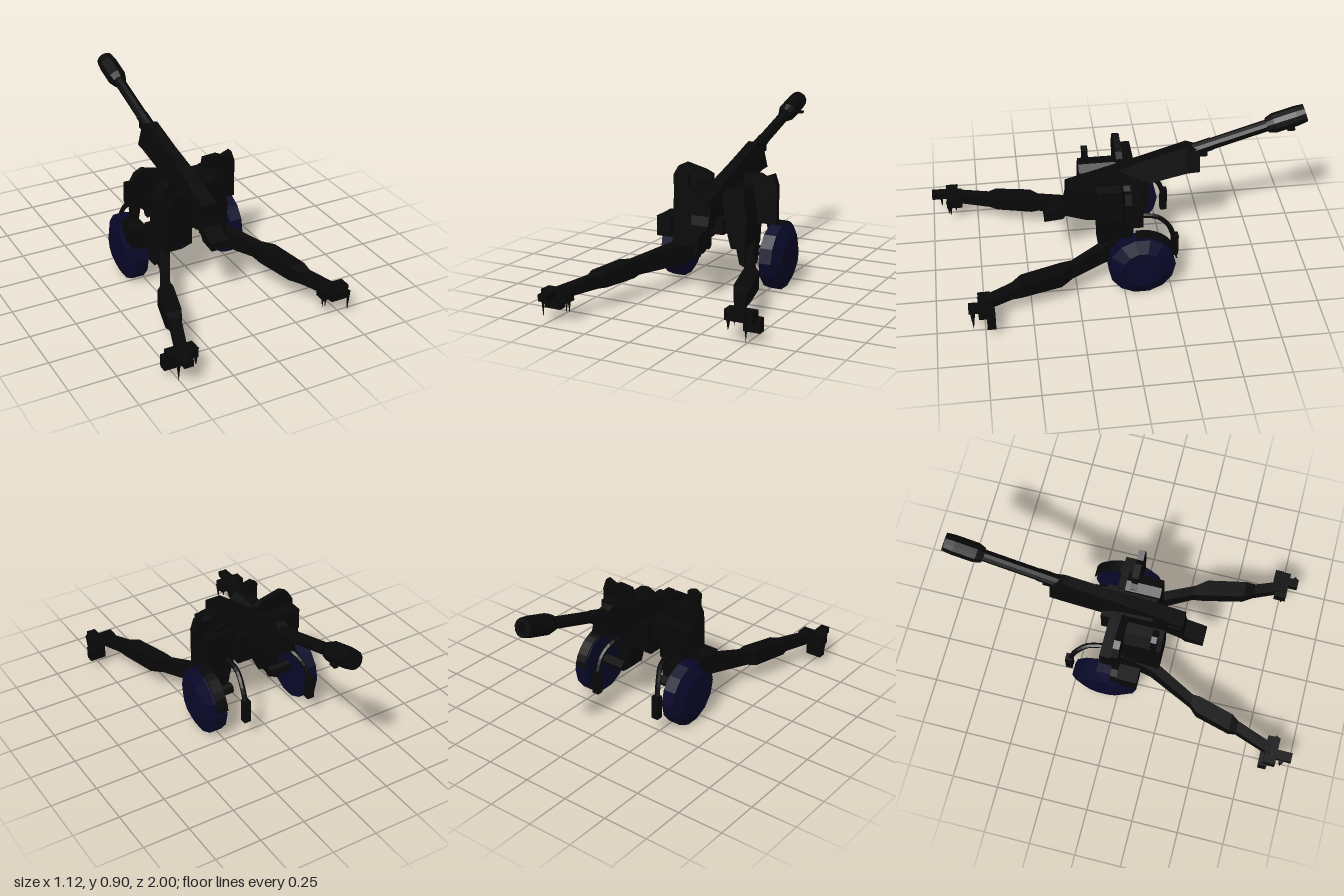
import * as THREE from 'three';

export function createModel() {
  const model = new THREE.Group();
  const gunmetal = new THREE.MeshStandardMaterial({ name: 'gunmetal black', color: 0x080808, flatShading: true });
  const tyre = new THREE.MeshStandardMaterial({ name: 'navy wheel', color: 0x080829, flatShading: true });

  const add = (name, geo, mat = gunmetal, parent = model) => {
    const m = new THREE.Mesh(geo, mat);
    m.name = name;
    parent.add(m);
    return m;
  };
  const box = (name, x0, x1, y0, y1, z0, z1) =>
    add(name, new THREE.BoxGeometry(x1 - x0, y1 - y0, z1 - z0)
      .translate((x0 + x1) / 2, (y0 + y1) / 2, (z0 + z1) / 2));
  const extrude = (pts, depth) => new THREE.ExtrudeGeometry(
    new THREE.Shape(pts.map(p => new THREE.Vector2(...p))), { depth, bevelEnabled: false });
  // profile of [z, y] points swept from x0 to x1
  const sideCut = (name, pts, x0, x1) =>
    add(name, extrude(pts, x1 - x0).rotateY(-Math.PI / 2).translate(x1, 0, 0));
  // profile of [x, y] points swept from z0 to z1
  const frontCut = (name, pts, z0, z1) => add(name, extrude(pts, z1 - z0).translate(0, 0, z0));

  // beam lofted through sections [x, y, z, width, height, top width], running towards +z
  const loft = (name, secs) => {
    const pos = [], idx = [];
    for (const [x, y, z, w, h, top = w] of secs)
      for (const [a, b] of [[-w, -h], [w, -h], [top, h], [-top, h]]) pos.push(x + a / 2, y + b / 2, z);
    for (let s = 0; s < secs.length - 1; s++)
      for (let k = 0; k < 4; k++) {
        const a = s * 4 + k, b = s * 4 + (k + 1) % 4;
        idx.push(a, b, b + 4, a, b + 4, a + 4);
      }
    const e = (secs.length - 1) * 4;
    idx.push(0, 2, 1, 0, 3, 2, e, e + 1, e + 2, e, e + 2, e + 3);
    const g = new THREE.BufferGeometry();
    g.setAttribute('position', new THREE.Float32BufferAttribute(pos, 3));
    g.setIndex(idx);
    g.computeVertexNormals();
    return add(name, g);
  };

  // Barrel and muzzle brake, raised towards the back
  const gun = new THREE.Group();
  gun.name = 'barrelAssembly';
  gun.position.set(-0.01, 0.552, 0);
  gun.rotation.x = 0.304;
  model.add(gun);
  const lathe = (name, pts, sides) =>
    add(name, new THREE.LatheGeometry(pts.map(p => new THREE.Vector2(...p)), sides).rotateX(-Math.PI / 2), gunmetal, gun);
  lathe('barrel', [[0, 0.3], [0.034, 0.3], [0.034, 0.52], [0.031, 0.52], [0.031, 0.86], [0, 0.86]], 10);
  lathe('muzzleBrake', [[0, 0.82], [0.04, 0.82], [0.053, 0.86], [0.053, 0.98], [0.048, 1.03], [0.025, 1.03], [0.025, 0.98], [0, 0.98]], 12);
  box('muzzleLug', 0.03, 0.052, 0.795, 0.807, -0.92, -0.88);

  // Cradle tapering to a narrow ridge, breech and tail
  loft('cradle', [[-0.01, 0.63, -0.43, 0.115, 0.12, 0.06], [-0.01, 0.645, -0.36, 0.125, 0.15, 0.055],
    [-0.005, 0.59, -0.15, 0.125, 0.13, 0.06], [0, 0.52, 0, 0.12, 0.18, 0.07], [0, 0.47, 0.28, 0.1, 0.1, 0.09]]);
  box('cradleCollar', -0.04, 0.02, 0.65, 0.7, -0.47, -0.42);
  sideCut('breechTail', [[0.4, 0.32], [0.4, 0.365], [0.29, 0.4], [0.27, 0.5], [0.2, 0.5], [0.2, 0.4], [0.28, 0.36], [0.3, 0.33]], -0.05, 0.05);
  box('saddle', -0.09, 0.09, 0.38, 0.54, -0.15, 0.12);
  box('saddleBase', -0.06, 0.06, 0.32, 0.4, -0.08, 0.14);

  // Side housings, with narrower feet reaching down to the trail legs
  frontCut('rightHousing', [[-0.06, 0.27], [-0.06, 0.54], [-0.1, 0.57], [-0.16, 0.57], [-0.2, 0.5], [-0.21, 0.25], [-0.12, 0.25]], 0, 0.2);
  frontCut('rightFoot', [[-0.11, 0.3], [-0.21, 0.3], [-0.22, 0.11], [-0.16, 0.14], [-0.13, 0.18]], -0.06, 0.08);
  frontCut('leftHousing', [[0.07, 0.36], [0.07, 0.56], [0.12, 0.58], [0.17, 0.57], [0.19, 0.4], [0.18, 0.25], [0.1, 0.25]], -0.06, 0.13);
  frontCut('leftFoot', [[0.1, 0.3], [0.1, 0.24], [0.12, 0.15], [0.165, 0.13], [0.18, 0.3]], -0.06, 0.07);
  frontCut('rightSight', [[-0.2, 0.46], [-0.2, 0.62], [-0.17, 0.64], [-0.13, 0.63], [-0.12, 0.46]], 0.145, 0.175);

  // Thin shoulder shields above the wheels, with arms behind them
  frontCut('rightShield', [[-0.355, 0.25], [-0.35, 0.375], [-0.31, 0.38], [-0.31, 0.58], [-0.28, 0.63], [-0.24, 0.65],
    [-0.12, 0.62], [-0.08, 0.6], [-0.08, 0.42], [-0.22, 0.36], [-0.23, 0.42], [-0.26, 0.43], [-0.27, 0.37], [-0.27, 0.25]], -0.035, 0);
  frontCut('leftShield', [[0.08, 0.38], [0.08, 0.57], [0.11, 0.58], [0.12, 0.63], [0.2, 0.635], [0.23, 0.62],
    [0.28, 0.64], [0.3, 0.58], [0.3, 0.37], [0.16, 0.37]], -0.035, 0);
  box('rightArm', -0.31, -0.08, 0.43, 0.55, -0.1, -0.03);
  box('leftArm', 0.08, 0.26, 0.4, 0.55, -0.1, -0.03);
  box('rightFender', -0.355, -0.27, 0.26, 0.37, 0.0, 0.11);

  // Wheels with a chamfered outer rim, stub axles
  for (const [side, inner, z] of [[-1, 0.265, -0.075], [1, 0.24, -0.09]]) {
    const pts = [[0, 0], [0.178, 0], [0.178, 0.07], [0.11, 0.103], [0, 0.103]].map(p => new THREE.Vector2(...p));
    const wheel = add(side < 0 ? 'rightWheel' : 'leftWheel', new THREE.LatheGeometry(pts, 14), tyre);
    wheel.rotation.z = -side * Math.PI / 2;
    wheel.position.set(side * inner, 0.178, z);
    const axle = add('stubAxle', new THREE.CylinderGeometry(0.03, 0.03, 0.14, 8));
    axle.rotation.z = Math.PI / 2;
    axle.position.set(side * (inner - 0.06), 0.19, z);
  }
  // Mudguard arc over the left wheel
  const arc = [];
  for (const r of [0.182, 0.19])
    for (let i = 0; i <= 8; i++) {
      const a = Math.PI * (0.45 + 0.5 * (r > 0.185 ? 8 - i : i) / 8);
      arc.push([-0.09 + r * Math.cos(a), 0.178 + r * Math.sin(a)]);
    }
  sideCut('leftMudguard', arc, 0.24, 0.3);

  // Flat curved struts with tool boxes behind the shield
  for (const [name, pts] of [
    ['rightStrut', [[-0.19, 0.37, -0.08], [-0.21, 0.36, -0.19], [-0.24, 0.31, -0.25], [-0.26, 0.22, -0.285]]],
    ['leftStrut', [[0.12, 0.37, -0.08], [0.13, 0.36, -0.19], [0.14, 0.31, -0.25], [0.14, 0.22, -0.285]]]]) {
    const curve = new THREE.CatmullRomCurve3(pts.map(p => new THREE.Vector3(...p)));
    add(name, new THREE.TubeGeometry(curve, 10, 0.014, 6));
    const [x, , z] = pts[3];
    box(name + 'Box', x - 0.02, x + 0.02, 0.11, 0.24, z - 0.022, z + 0.015);
  }

  // Split trail legs
  loft('rightTrail', [[-0.17, 0.21, 0.02, 0.07, 0.13], [-0.2, 0.195, 0.16, 0.06, 0.12], [-0.32, 0.17, 0.41, 0.055, 0.08],
    [-0.34, 0.168, 0.45, 0.09, 0.09], [-0.39, 0.16, 0.64, 0.09, 0.08], [-0.4, 0.155, 0.68, 0.06, 0.065], [-0.47, 0.145, 0.88, 0.06, 0.05]]);
  loft('leftTrail', [[0.15, 0.215, 0.0, 0.07, 0.13], [0.19, 0.2, 0.1, 0.055, 0.11], [0.29, 0.18, 0.28, 0.055, 0.08],
    [0.32, 0.175, 0.34, 0.09, 0.09], [0.37, 0.165, 0.55, 0.09, 0.08], [0.39, 0.155, 0.6, 0.06, 0.065], [0.46, 0.145, 0.76, 0.06, 0.05]]);

  // Ground spades, cross plates and hanging pegs at the leg ends
  for (const [name, s, x, z, back] of [['rightSpade', -1, -0.47, 0.89, 1], ['leftSpade', 1, 0.47, 0.75, 0.83]]) {
    box(name + 'Bar', x - 0.08, x + 0.07, 0.11, 0.165, z - 0.035, z + 0.03);
    box(name + 'Tip', x - 0.025 + s * 0.02, x + 0.025 + s * 0.02, 0.13, 0.165, z, back);
    const ox = s * 0.515;
    box(name + 'Plate', ox - 0.045, ox + 0.045, 0.055, 0.125, z - 0.055, z - 0.01);
    for (const [dx, dz, low] of [[0.05, 0.06, 0.03], [-0.07, 0.01, 0.055], [-0.05, -0.02, 0.07], [-0.06, 0.02, 0.06]]) {
      const peg = add(name + 'Peg', new THREE.ConeGeometry(0.014, 0.15 - low, 4));
      peg.rotation.x = Math.PI;
      peg.position.set(x + s * dx, (0.15 + low) / 2, z + dz);
    }
  }
  return model;
}
